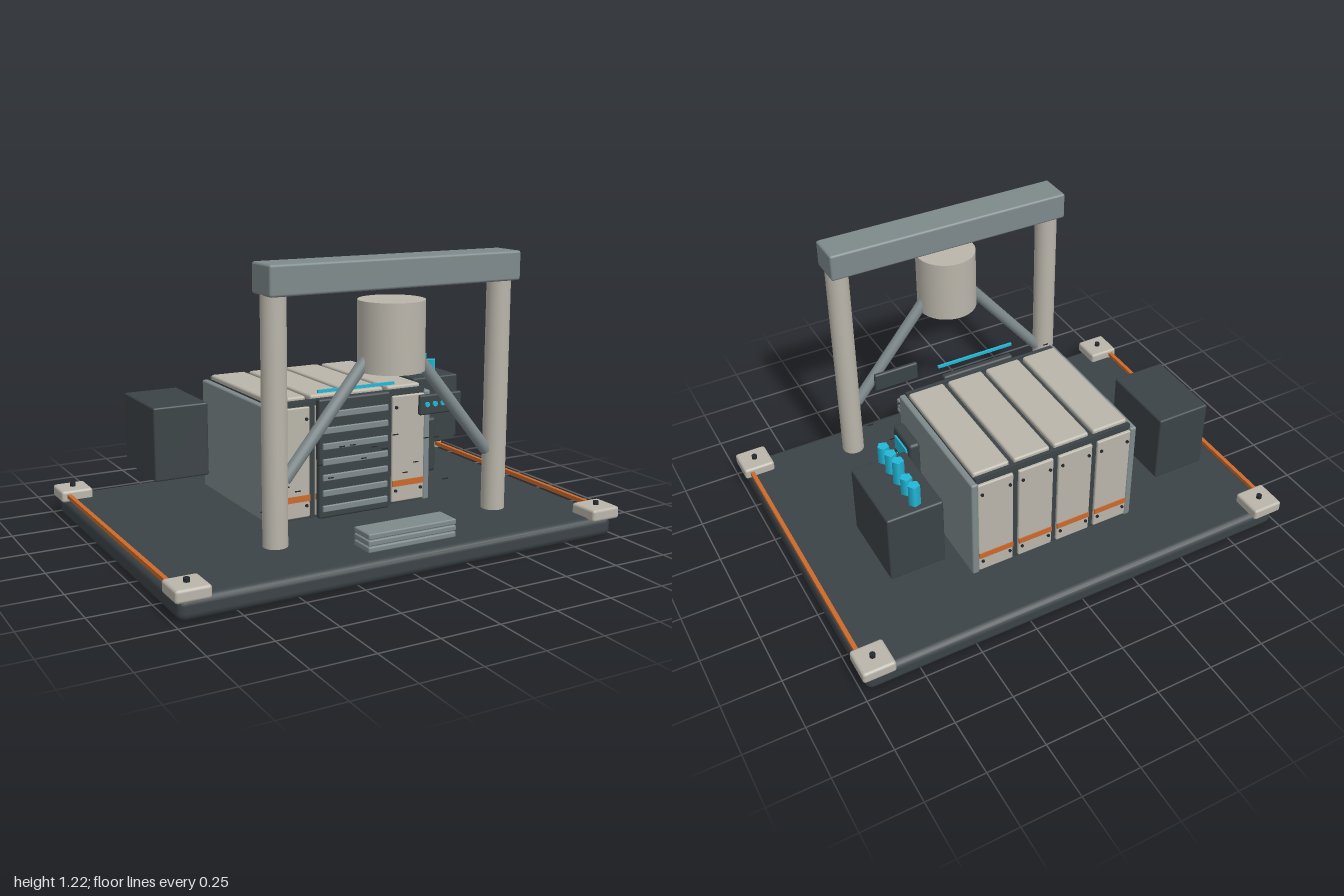
import * as THREE from 'three';
import { RoundedBoxGeometry } from 'three/addons/geometries/RoundedBoxGeometry.js';

const mat = (color) => new THREE.MeshStandardMaterial({ color });
const DARK = mat(0x3b4346), BEIGE = mat(0xb9b5aa), GREY = mat(0x7e898b);
const ORANGE = mat(0xcb6a2c), CYAN = mat(0x22b8d8), BLACK = mat(0x24292b);

export function createModel() {
  const model = new THREE.Group();

  const add = (name, geo, material, x, y, z) => {
    const m = new THREE.Mesh(geo, material);
    m.name = name;
    m.position.set(x, y, z);
    model.add(m);
    return m;
  };
  // box from min and max corners, optionally with rounded edges
  const box = (name, material, [x0, x1], [y0, y1], [z0, z1], r = 0) => {
    const s = [x1 - x0, y1 - y0, z1 - z0];
    const geo = r ? new RoundedBoxGeometry(...s, 2, r) : new THREE.BoxGeometry(...s);
    return add(name, geo, material, (x0 + x1) / 2, (y0 + y1) / 2, (z0 + z1) / 2);
  };
  const cylinder = (name, material, r, h, x, y, z, sides = 24) =>
    add(name, new THREE.CylinderGeometry(r, r, h, sides), material, x, y, z);

  // base slab
  box('basePlate', DARK, [-0.98, 0.98], [0, 0.09], [-0.715, 0.715], 0.03);

  // corner feet with bolts, edge strips
  for (const sx of [-1, 1]) {
    for (const sz of [-1, 1]) {
      add('cornerBlock', new RoundedBoxGeometry(0.14, 0.052, 0.14, 2, 0.012), BEIGE, sx * 0.93, 0.106, sz * 0.665);
      cylinder('cornerBolt', BLACK, 0.012, 0.02, sx * 0.93, 0.138, sz * 0.665, 12);
    }
    add('edgeStrip', new THREE.BoxGeometry(0.018, 0.018, 1.24), ORANGE, sx * 0.967, 0.107, 0);
  }

  // cabinet core and side walls
  box('cabinetCore', DARK, [-0.36, 0.36], [0.115, 0.605], [-0.445, 0.2]);
  for (const s of [-1, 1]) {
    add('cabinetSide', new RoundedBoxGeometry(0.03, 0.485, 0.668, 2, 0.008), GREY, s * 0.37, 0.357, -0.123);
  }
  for (const z of [-0.433, 0.19]) {
    add('topRail', new THREE.BoxGeometry(0.72, 0.018, 0.018), DARK, 0, 0.605, z);
  }

  // four columns of panels: roof, front and back
  for (const x of [-0.277, -0.092, 0.092, 0.277]) {
    add('roofPanel', new RoundedBoxGeometry(0.163, 0.028, 0.59, 2, 0.01), BEIGE, x, 0.612, -0.125);
    for (const [face, z, out] of [['front', 0.2, 1], ['back', -0.447, -1]]) {
      add(face + 'Panel', new RoundedBoxGeometry(0.16, 0.465, 0.02, 2, 0.006), BEIGE, x, 0.357, z);
      add(face + 'Stripe', new THREE.BoxGeometry(0.157, 0.026, 0.006), ORANGE, x, 0.207, z + out * 0.011);
      for (const dx of [-0.063, 0.063]) {
        for (const y of [0.175, 0.54]) {
          cylinder(face + 'Screw', BLACK, 0.007, 0.01, x + dx, y, z + out * 0.011, 10).rotation.x = Math.PI / 2;
        }
      }
    }
  }

  // slatted front door
  box('door', DARK, [-0.17, 0.17], [0.115, 0.62], [0.205, 0.238], 0.01);
  for (let i = 0; i < 7; i++) {
    add('doorSlat', new RoundedBoxGeometry(0.31, 0.027, 0.018, 1, 0.004), GREY, 0, 0.158 + i * 0.066, 0.238);
  }
  box('lightBar', CYAN, [-0.18, 0.18], [0.65, 0.662], [0.238, 0.248]);

  // control console on the side wall
  box('console', DARK, [0.38, 0.432], [0.23, 0.47], [0.02, 0.19], 0.014);
  box('consoleScreen', CYAN, [0.425, 0.44], [0.367, 0.437], [0.047, 0.16]);
  for (const y of [0.34, 0.316, 0.293]) {
    box('consoleLine', GREY, [0.428, 0.436], [y - 0.003, y + 0.003], [0.047, 0.16]);
  }

  // side units and five-sided tubes
  for (const s of [-1, 1]) {
    add('sideUnit', new RoundedBoxGeometry(0.24, 0.312, 0.348, 2, 0.008), DARK, s * 0.627, 0.422, -0.283);
  }
  [0.656, 0.672, 0.688, 0.656, 0.672].forEach((top, i) => {
    const h = top - 0.57;
    const tube = cylinder('tube', CYAN, 0.025, h, 0.608, top - h / 2, -0.126 - i * 0.071, 5);
    tube.rotation.y = Math.PI / 2;
  });

  // gantry: posts, beam, drum and diagonal braces
  for (const s of [-1, 1]) {
    cylinder('post', BEIGE, 0.049, 0.96, s * 0.505, 0.623, 0.508);
    const a = new THREE.Vector3(s * 0.1, 0.84, 0.508), b = new THREE.Vector3(s * 0.465, 0.395, 0.508);
    const dir = a.clone().sub(b), mid = a.add(b).multiplyScalar(0.5);
    const brace = cylinder('brace', GREY, 0.025, dir.length(), mid.x, mid.y, mid.z, 16);
    brace.quaternion.setFromUnitVectors(new THREE.Vector3(0, 1, 0), dir.normalize());
  }
  box('beam', GREY, [-0.555, 0.555], [1.098, 1.216], [0.43, 0.585], 0.01);
  cylinder('drum', BEIGE, 0.132, 0.275, 0, 0.913, 0.508, 32);

  // stacked steps
  for (let i = 0; i < 3; i++) {
    add('step', new RoundedBoxGeometry(0.4, 0.024, 0.115, 1, 0.006), GREY, 0, 0.126 + i * 0.026, 0.63);
  }

  // indicator panel with lamps
  box('indicatorPanel', DARK, [0.225, 0.43], [0.537, 0.622], [0.356, 0.376], 0.008);
  for (const x of [0.258, 0.296, 0.334]) {
    cylinder('indicatorLamp', CYAN, 0.011, 0.012, x, 0.582, 0.378, 12).rotation.x = Math.PI / 2;
  }

  // tiny floating flecks in one plane
  let seed = 7;
  const rand = () => (seed = (seed * 16807) % 2147483647) / 2147483647;
  for (let i = 0; i < 20; i++) {
    add('fleck', new THREE.BoxGeometry(0.025, 0.004, 0.004), BLACK, -0.48 + i * 0.05, 0.23 + rand() * 0.29, 0.357);
  }
  return model;
}
